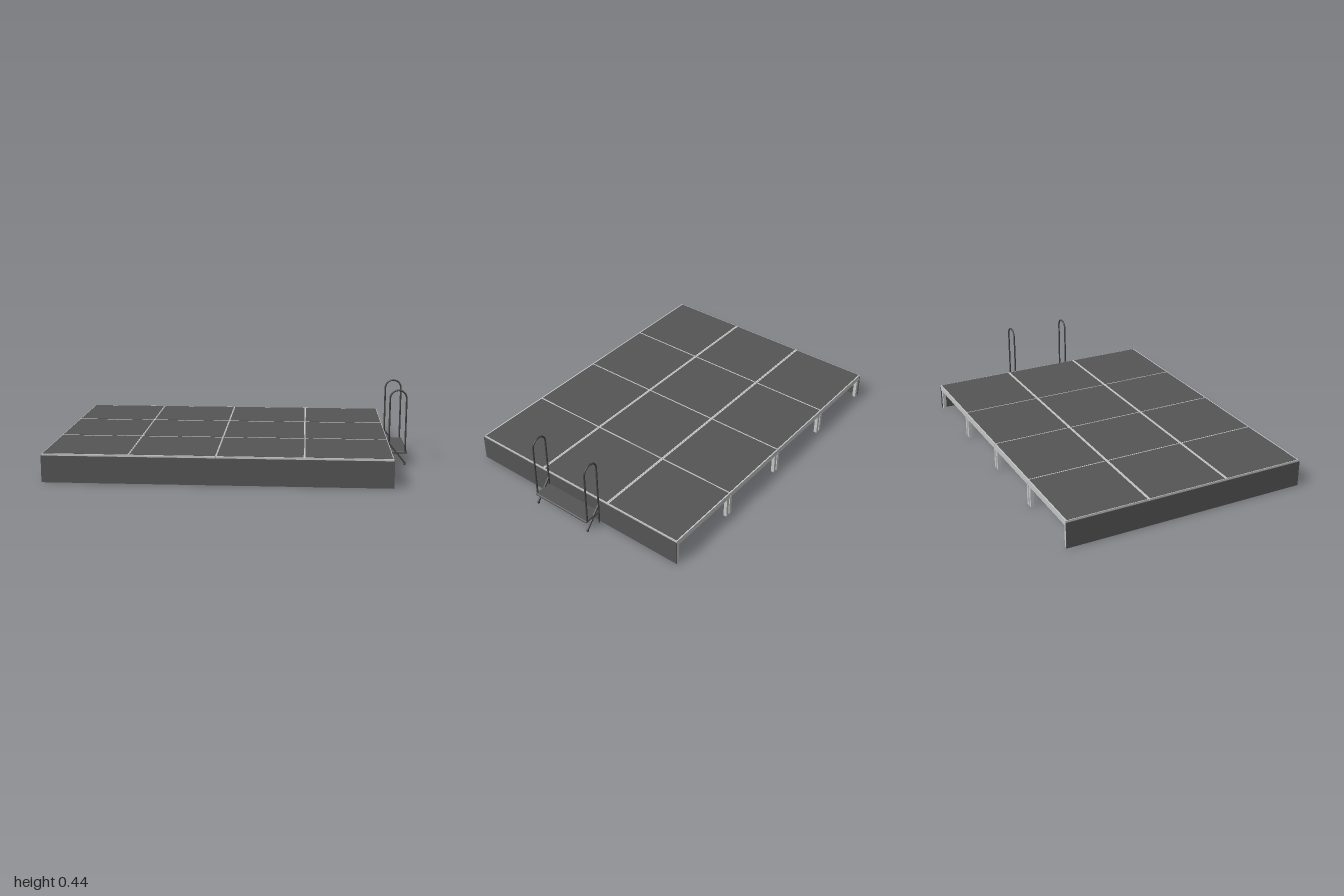
import * as THREE from 'three';
import { RoundedBoxGeometry } from 'three/addons/geometries/RoundedBoxGeometry.js';

const mat = (name, color) => {
  const m = new THREE.MeshStandardMaterial({ color });
  m.name = name;
  return m;
};

export function createModel() {
  const charcoal = mat('charcoal board', 0x555555);
  const aluminium = mat('aluminium', 0xc4c6c5);
  const steel = mat('dark steel', 0x434343);

  const model = new THREE.Group();
  model.name = 'stagePlatform';

  const X0 = -1, X1 = 0.885, Z = 0.708, TOP = 0.158;
  const COLS = 4, ROWS = 3;
  const skirtT = 0.004, skirtTop = 0.147;
  const pw = (X1 - X0 - 2 * skirtT) / COLS;
  const pd = (2 * Z - skirtT) / ROWS;

  const add = (parent, name, geometry, material, x = 0, y = 0, z = 0) => {
    const mesh = new THREE.Mesh(geometry, material);
    mesh.name = name;
    mesh.position.set(x, y, z);
    parent.add(mesh);
    return mesh;
  };

  // Panel frame: rectangular aluminium ring
  const ring = (w, d, inset, height) => {
    const s = new THREE.Shape();
    s.moveTo(-w / 2, -d / 2).lineTo(w / 2, -d / 2).lineTo(w / 2, d / 2).lineTo(-w / 2, d / 2).closePath();
    const a = w / 2 - inset, b = d / 2 - inset;
    const hole = new THREE.Path();
    hole.moveTo(-a, -b).lineTo(-a, b).lineTo(a, b).lineTo(a, -b).closePath();
    s.holes.push(hole);
    return new THREE.ExtrudeGeometry(s, { depth: height, bevelEnabled: false }).rotateX(-Math.PI / 2);
  };
  const gap = 0.0005, leg = 0.019, legInset = 0.014;
  const frameGeo = ring(pw - 2 * gap, pd - 2 * gap, 0.015, 0.032);
  const boardGeo = new THREE.BoxGeometry(pw - 0.009, 0.014, pd - 0.016);
  const legGeo = new THREE.BoxGeometry(leg, TOP - 0.014, leg);

  // Deck panels, each with a frame, a board and four legs
  for (let i = 0; i < COLS; i++) {
    for (let j = 0; j < ROWS; j++) {
      const panel = new THREE.Group();
      panel.name = `deckPanel${i}_${j}`;
      panel.position.set(X0 + skirtT + (i + 0.5) * pw, 0, -Z + (j + 0.5) * pd);
      add(panel, 'panelFrame', frameGeo, aluminium, 0, TOP - 0.0325, 0);
      add(panel, 'panelBoard', boardGeo, charcoal, 0, TOP - 0.0065, 0);
      for (const sx of [-1, 1]) {
        for (const sz of [-1, 1]) {
          add(panel, 'leg', legGeo, aluminium,
            sx * (pw / 2 - legInset), (TOP - 0.014) / 2, sz * (pd / 2 - legInset));
        }
      }
      model.add(panel);
    }
  }

  // Skirts on the front and both ends; the back stays open
  const endSkirt = new THREE.BoxGeometry(skirtT, skirtTop, 2 * Z);
  add(model, 'frontSkirt', new THREE.BoxGeometry(X1 - X0, skirtTop, skirtT), charcoal,
    (X0 + X1) / 2, skirtTop / 2, Z - skirtT / 2);
  add(model, 'leftSkirt', endSkirt, charcoal, X1 - skirtT / 2, skirtTop / 2, 0);
  add(model, 'rightSkirt', endSkirt, charcoal, X0 + skirtT / 2, skirtTop / 2, 0);

  // Step unit with two arched handrails
  const steps = new THREE.Group();
  steps.name = 'accessStep';
  model.add(steps);
  const xi = 0.894, xo = 0.987, r = 0.005, arc = (xo - xi) / 2, springY = 0.435 - arc;
  const tread = new RoundedBoxGeometry(0.112, 0.015, 0.374, 3, 0.006);
  add(steps, 'stepTread', tread, charcoal, 0.944, 0.073, 0);

  const railPath = new THREE.CurvePath();
  const points = [];
  for (let k = 0; k <= 12; k++) {
    const a = Math.PI * (1 - k / 12);
    points.push(new THREE.Vector3((xi + xo) / 2 + arc * Math.cos(a), springY + arc * Math.sin(a), 0));
  }
  railPath.add(new THREE.LineCurve3(new THREE.Vector3(xi, 0, 0), points[0]));
  railPath.add(new THREE.CatmullRomCurve3(points));
  railPath.add(new THREE.LineCurve3(points[12], new THREE.Vector3(xo, 0.068, 0)));
  const railGeo = new THREE.TubeGeometry(railPath, 90, r, 10, false);

  // Diagonal brace running from the inner post down to the ground
  const brace = new THREE.Shape();
  brace.moveTo(xi, 0.132).lineTo(xi, 0.119).lineTo(xo - 0.006, 0.012).lineTo(xo - 0.006, 0)
    .lineTo(xo + 0.005, 0).lineTo(xo + 0.005, 0.014).closePath();
  const braceGeo = new THREE.ExtrudeGeometry(brace, { depth: 0.009, bevelEnabled: false });
  for (const s of [-1, 1]) {
    add(steps, 'handrail', railGeo, steel, 0, 0, s * 0.183);
    add(steps, 'stepBrace', braceGeo, steel, 0, 0, s * 0.183 - 0.0045);
  }

  return model;
}
